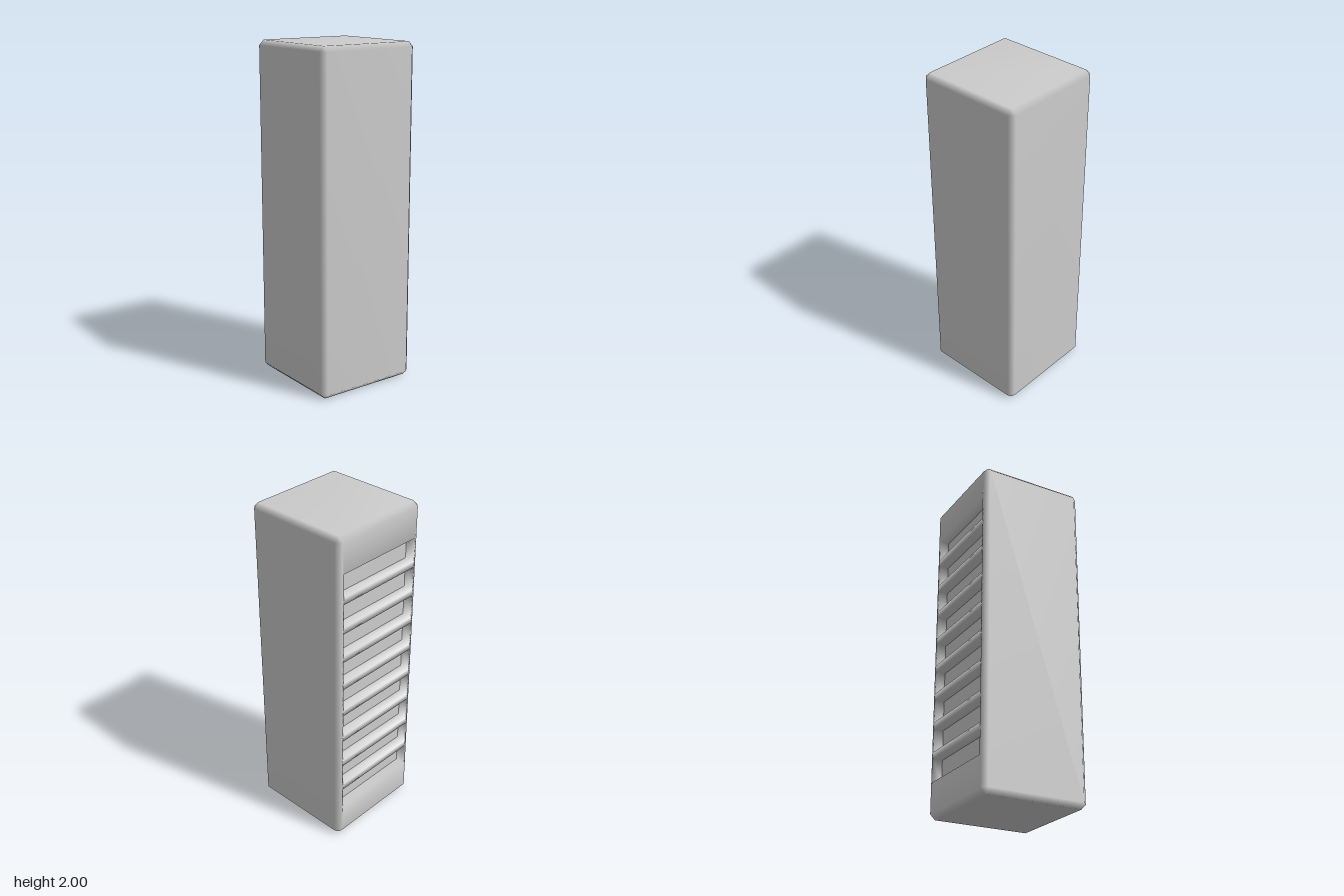
import * as THREE from 'three';
import { mergeGeometries, mergeVertices } from 'three/addons/utils/BufferGeometryUtils.js';
import { ConvexGeometry } from 'three/addons/geometries/ConvexGeometry.js';

const HALF = 0.323, HEIGHT = 2, CHAMFER = 0.03;
const SLOTS = 9, SLOT_W = 0.565, SLOT_H = 0.14, PITCH = 0.18, DEPTH = 0.06;
const BACK_Z = -HALF;
const slotY = (i) => HEIGHT / 2 + (i - (SLOTS - 1) / 2) * PITCH;

// Keeps only positions, so that shared corners can be welded
function bare(geometry) {
  const g = geometry.index ? geometry.toNonIndexed() : geometry;
  g.deleteAttribute('normal');
  g.deleteAttribute('uv');
  g.clearGroups();
  return g;
}

// Chamfered box with its flat back face left out
function chamferedShell() {
  const h = HALF, c = HALF - CHAMFER, points = [];
  for (const sx of [-1, 1]) for (const sy of [-1, 1]) for (const sz of [-1, 1]) {
    const tall = HEIGHT / 2, low = tall - CHAMFER;
    for (const [x, y, z] of [[h, low, c], [c, tall, c], [c, low, h]]) {
      points.push(new THREE.Vector3(sx * x, tall + sy * y, sz * z));
    }
  }
  const pos = new ConvexGeometry(points).getAttribute('position');
  const kept = [];
  for (let i = 0; i < pos.count; i += 3) {
    const onBack = [0, 1, 2].every((k) => pos.getZ(i + k) < BACK_Z + 1e-4);
    if (onBack) continue;
    for (let k = 0; k < 3; k++) kept.push(pos.getX(i + k), pos.getY(i + k), pos.getZ(i + k));
  }
  const g = new THREE.BufferGeometry();
  g.setAttribute('position', new THREE.Float32BufferAttribute(kept, 3));
  return g;
}

// Adds a rectangle to a path, centred on (0, y)
function rectangle(path, w, y, h) {
  path.moveTo(-w / 2, y - h / 2);
  path.lineTo(w / 2, y - h / 2);
  path.lineTo(w / 2, y + h / 2);
  path.lineTo(-w / 2, y + h / 2);
  path.closePath();
  return path;
}

// Back face pierced by the row of slots
function slottedPanel() {
  const shape = rectangle(new THREE.Shape(), 2 * (HALF - CHAMFER), HEIGHT / 2, HEIGHT - 2 * CHAMFER);
  for (let i = 0; i < SLOTS; i++) {
    shape.holes.push(rectangle(new THREE.Path(), SLOT_W, slotY(i), SLOT_H));
  }
  return new THREE.ShapeGeometry(shape).rotateY(Math.PI).translate(0, 0, BACK_Z);
}

// Four inward-facing walls of one slot
function slotWalls(y) {
  const box = new THREE.BoxGeometry(SLOT_W, SLOT_H, DEPTH);
  box.setIndex(Array.from(box.index.array).slice(0, 24).reverse());
  return box.translate(0, y, BACK_Z + DEPTH / 2);
}

export function createModel() {
  const model = new THREE.Group();
  model.name = 'ventedTower';
  const material = new THREE.MeshStandardMaterial({ color: 0xcccccc });

  // Case: shell, slotted back and slot walls welded for soft edges
  const parts = [chamferedShell(), slottedPanel()];
  for (let i = 0; i < SLOTS; i++) parts.push(slotWalls(slotY(i)));
  const caseGeometry = mergeVertices(mergeGeometries(parts.map(bare)), 1e-4);
  caseGeometry.computeVertexNormals();
  const towerCase = new THREE.Mesh(caseGeometry, material);
  towerCase.name = 'case';
  model.add(towerCase);

  // Flat plates closing the slots
  const plates = new THREE.Group();
  plates.name = 'slotPlates';
  const plateGeometry = new THREE.PlaneGeometry(SLOT_W, SLOT_H).rotateY(Math.PI);
  for (let i = 0; i < SLOTS; i++) {
    const plate = new THREE.Mesh(plateGeometry, material);
    plate.name = `slotPlate${i + 1}`;
    plate.position.set(0, slotY(i), BACK_Z + DEPTH);
    plates.add(plate);
  }
  model.add(plates);
  return model;
}
